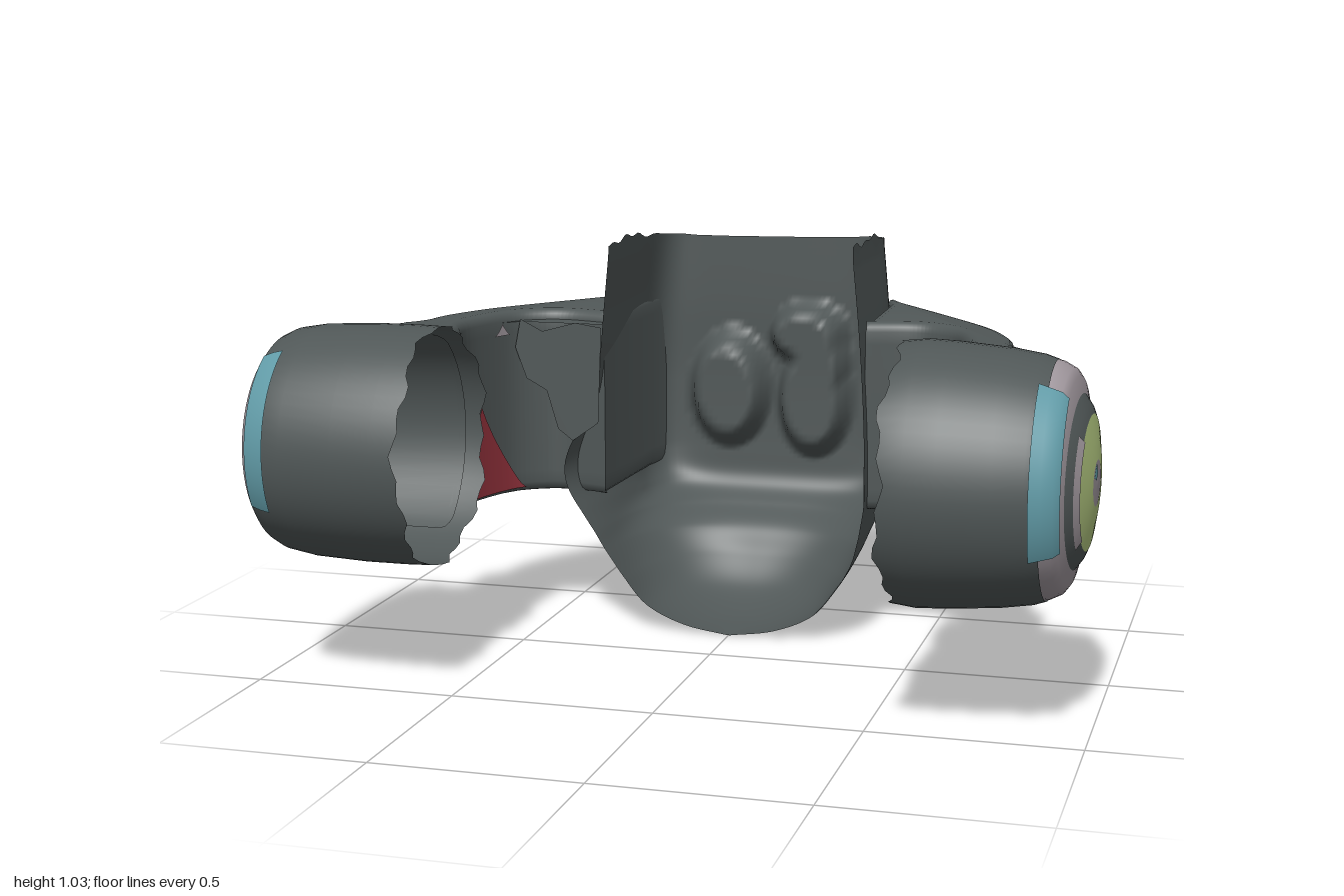
import * as THREE from 'three';
import { toCreasedNormals } from 'three/addons/utils/BufferGeometryUtils.js';

const flat = (name, color) => {
  const m = new THREE.MeshStandardMaterial({ color, side: THREE.DoubleSide });
  m.name = name;
  return m;
};
const dark = flat('charcoal', 0x505757);
const grey = flat('warm grey', 0xa0979d);
const green = flat('lime', 0xb3c880);
const cyan = flat('teal', 0x629ca8);
const red = flat('red', 0x93323c);

const DRUM = { y: 0.588, z: 0.388 };

function add(parent, name, geometry, material) {
  const mesh = new THREE.Mesh(geometry, material);
  mesh.name = name;
  parent.add(mesh);
  return mesh;
}

// Surface from a grid of points given by fn(u, v), u and v in 0..1
function gridSurface(nu, nv, fn) {
  const pos = [], idx = [];
  for (let j = 0; j <= nv; j++)
    for (let i = 0; i <= nu; i++) pos.push(...fn(i / nu, j / nv));
  for (let j = 0; j < nv; j++)
    for (let i = 0; i < nu; i++) {
      const a = j * (nu + 1) + i, b = a + nu + 1;
      idx.push(a, a + 1, b, b, a + 1, b + 1);
    }
  const g = new THREE.BufferGeometry();
  g.setAttribute('position', new THREE.Float32BufferAttribute(pos, 3));
  g.setIndex(idx);
  g.computeVertexNormals();
  return g;
}

// Body levels: y, half width, back z, squareness of the section
const LEVELS = [
  [0.005, 0.002, -0.185, 2], [0.025, 0.12, -0.32, 2], [0.07, 0.22, -0.43, 2.2],
  [0.14, 0.28, -0.5, 2.5], [0.21, 0.32, -0.545, 3], [0.26, 0.335, -0.62, 4],
  [0.31, 0.345, -0.68, 6], [0.4, 0.355, -0.692, 9], [0.6, 0.35, -0.695, 10],
  [0.8, 0.337, -0.69, 10], [1.0, 0.318, -0.69, 10],
];
const PROFILE = new THREE.CatmullRomCurve3(
  LEVELS.map(([y, w, back]) => new THREE.Vector3(w, y, back)), false, 'catmullrom', 0.5);
// Pressed-in hollows of the back plate: x, y, rx, ry
const DENTS = [[-0.13, 0.57, 0.115, 0.165], [0.11, 0.55, 0.105, 0.165], [0.09, 0.73, 0.11, 0.085], [0.14, 0.64, 0.065, 0.14]];

function bodyPoint(u, v) {
  const f = v * (LEVELS.length - 1);
  const k = Math.min(Math.floor(f), LEVELS.length - 2);
  const n = THREE.MathUtils.lerp(LEVELS[k][3], LEVELS[k + 1][3], f - k);
  const level = PROFILE.getPoint(v);
  const w = level.x, back = level.z, front = -0.18;
  const th = (0.5 - u) * Math.PI, s = Math.sin(th), c = Math.max(Math.cos(th), 0);
  const r = (Math.abs(s) ** n + c ** n) ** (-1 / n);
  let x = w * s * r, y = level.y, z = front - (front - back) * c * r;
  // bulge of the right front edge
  if (x < 0) x -= 0.09 * Math.exp(-(((y - 0.42) / 0.15) ** 2)) * Math.max(0, 1 - (front - z) / 0.35) * (-x / w);
  // hollows
  if (c > Math.abs(s) * 0.9 && y > 0.3) {
    let d = 0;
    for (const [cx, cy, rx, ry] of DENTS) {
      const q = ((x - cx) / rx) ** 2 + ((y - cy) / ry) ** 2;
      if (q < 1) d = Math.max(d, Math.min(1, (1 - q) * 2));
    }
    z += 0.08 * d;
  }
  // torn upper rim: even at the back, taller and rougher at the sides
  if (v === 1) {
    const side = Math.min(1, Math.abs(s) ** 6 * 2);
    y += -0.008 + 0.015 * x + side * (0.03 + 0.01 * Math.sin(u * 71) * Math.sin(u * 29));
  }
  return [x, y, z];
}

// Turned part about the x axis; points are [radius, x]
function turned(points, start = 0, length = Math.PI * 2) {
  const g = new THREE.LatheGeometry(points.map(([r, x]) => new THREE.Vector2(r, x)), 64, start, length);
  return g.rotateZ(-Math.PI / 2);
}

function buildDrum(isLeft) {
  const drum = new THREE.Group();
  drum.name = isLeft ? 'leftDrum' : 'rightDrum';

  // open shell with a ragged inner edge
  const shell = turned(isLeft
    ? [[0.297, 0.56], [0.304, 0.61], [0.301, 0.68], [0.291, 0.8], [0.28, 0.87], [0.27, 0.9]]
    : [[0.285, 0.56], [0.287, 0.62], [0.287, 0.72], [0.281, 0.85], [0.27, 0.915], [0.255, 0.945]]);
  const p = shell.attributes.position;
  for (let i = 0; i < p.count; i++)
    if (p.getX(i) < 0.57) {
      const a = Math.atan2(p.getY(i), p.getZ(i));
      p.setX(i, 0.557 + 0.007 * Math.sin(a * 17) + 0.008 * Math.sin(a * 6 + 1));
    }
  add(drum, 'drumShell', shell, dark);

  // domed cap in coloured rings; the left one leans slightly forward
  const cap = new THREE.Group();
  cap.name = 'cap';
  if (isLeft) {
    add(cap, 'outerRing', turned([[0.272, 0.885], [0.266, 0.91], [0.253, 0.935], [0.235, 0.948], [0.197, 0.958]]), grey);
    add(cap, 'darkRing', turned([[0.197, 0.958], [0.175, 0.973], [0.153, 0.982]]), dark);
    add(cap, 'crescent', turned([[0.177, 0.974], [0.153, 0.985]], -0.8, 1.6), grey);
    add(cap, 'disc', turned([[0.153, 0.982], [0.1, 0.992], [0.052, 0.997]]), green);
    add(cap, 'hub', turned([[0.052, 0.997], [0, 0.999]]), grey);
    add(cap, 'hubFleck', turned([[0.052, 0.9985], [0.026, 1]], -1.2, 0.8), cyan);
    const lean = 0.05;
    cap.rotation.y = -lean;
    cap.position.z = -0.95 * Math.sin(lean);
  } else {
    add(cap, 'outerRing', turned([[0.255, 0.945], [0.235, 0.961], [0.2, 0.975], [0.145, 0.987]]), grey);
    add(cap, 'disc', turned([[0.145, 0.987], [0.1, 0.994], [0.03, 0.998]]), dark);
    add(cap, 'hub', turned([[0.03, 0.998], [0, 1]]), grey);
    add(cap, 'hubStreak', turned([[0.1, 0.997], [0.03, 1]], -0.15, 0.3), grey);
  }
  drum.add(cap);

  // teal patch on the front edge
  const edge = isLeft
    ? [[0.284, 0.88], [0.273, 0.905], [0.262, 0.93], [0.245, 0.944]]
    : [[0.28, 0.89], [0.272, 0.918], [0.26, 0.944]];
  add(drum, 'edgePatch', turned(edge, -1.02, 1.5), cyan);

  drum.position.set(0, DRUM.y, DRUM.z);
  return drum;
}

// Inner outline of the arm in plan, from drum to body
const planPoint = (x, z) => new THREE.Vector2(x, -z);
const INNER = [[0.6, 0.14], [0.632, 0.05], [0.63, -0.04], [0.585, -0.17], [0.52, -0.23], [0.45, -0.245], [0.345, -0.22]]
  .map(([x, z]) => planPoint(x, z));
const INNER_CURVE = new THREE.SplineCurve(INNER);

// Wedge-shaped arm drawn in plan; the end is trimmed to the round drum
function buildArmGeometry() {
  const s = new THREE.Shape();
  s.moveTo(0.31, 0.685);
  s.lineTo(0.345, 0.66);
  s.splineThru([planPoint(0.5, -0.46), planPoint(0.66, -0.24), planPoint(0.735, -0.08), planPoint(0.765, 0.04), planPoint(0.86, 0.14)]);
  s.lineTo(INNER[0].x, INNER[0].y);
  s.splineThru(INNER.slice(1));
  s.lineTo(0.33, 0.6);
  const b = 0.025, low = 0.35, high = 0.835;
  const g = new THREE.ExtrudeGeometry(s, {
    depth: high - low - 2 * b, steps: 14, curveSegments: 18,
    bevelSize: b, bevelThickness: b, bevelOffset: -b, bevelSegments: 3,
  });
  g.rotateX(-Math.PI / 2).translate(0, low + b, 0);
  const p = g.attributes.position;
  for (let i = 0; i < p.count; i++)
    if (p.getZ(i) > 0.09) {
      const dy = p.getY(i) - DRUM.y;
      p.setZ(i, DRUM.z + 0.015 - Math.sqrt(0.285 ** 2 - dy * dy));
    }
  return toCreasedNormals(g, 0.7);
}

// Peaked patch laid on the inner face of an arm between t0 and t1 of its outline
function innerPatch(t0, t1, low, high) {
  return gridSurface(16, 4, (u, v) => {
    const q = INNER_CURVE.getPoint(THREE.MathUtils.lerp(t0, t1, u));
    const top = (high - low) * (1 - Math.abs(2 * u - 1)) ** 1.4;
    return [q.x - 0.006, low + top * v, -q.y + 0.002];
  });
}

function plate(points) {
  return new THREE.ShapeGeometry(new THREE.Shape(points.map(([x, y]) => new THREE.Vector2(x, y))));
}

export function createModel() {
  const model = new THREE.Group();
  model.name = 'harness';

  add(model, 'bodyShell', gridSurface(96, 110, bodyPoint), dark);

  const armGeometry = buildArmGeometry();
  for (const side of [1, -1]) {
    const half = new THREE.Group();
    half.name = side > 0 ? 'leftSide' : 'rightSide';
    add(half, 'arm', armGeometry, dark);
    // small marks: pale flecks, red inside the right arm and under the left one
    if (side < 0) {
      add(half, 'paleFleck', innerPatch(0.42, 0.49, 0.775, 0.805), grey);
      add(half, 'redPatch', innerPatch(0.14, 0.56, 0.365, 0.6), red);
    } else {
      add(half, 'paleFleck', innerPatch(0.1, 0.18, 0.58, 0.63), grey);
      add(half, 'redSpeck', new THREE.BoxGeometry(0.03, 0.008, 0.04).translate(0.57, 0.347, -0.32), red);
    }
    half.add(buildDrum(side > 0));
    half.scale.x = side;
    model.add(half);
  }

  // torn flap between the body and the right arm, with its top edge folded back
  const flap = plate([[-0.34, 0.8], [-0.41, 0.81], [-0.5, 0.785], [-0.56, 0.815], [-0.575, 0.74],
    [-0.545, 0.66], [-0.49, 0.63], [-0.46, 0.53], [-0.42, 0.5], [-0.35, 0.55]]);
  add(model, 'tornFlap', flap.translate(0, 0, -0.178), dark);
  const fold = plate([[-0.34, 0.18], [-0.56, 0.178], [-0.6, 0.14], [-0.53, 0.25], [-0.34, 0.26]]);
  add(model, 'flapFold', fold.rotateX(-Math.PI / 2).translate(0, 0.808, 0), dark);

  return model;
}
